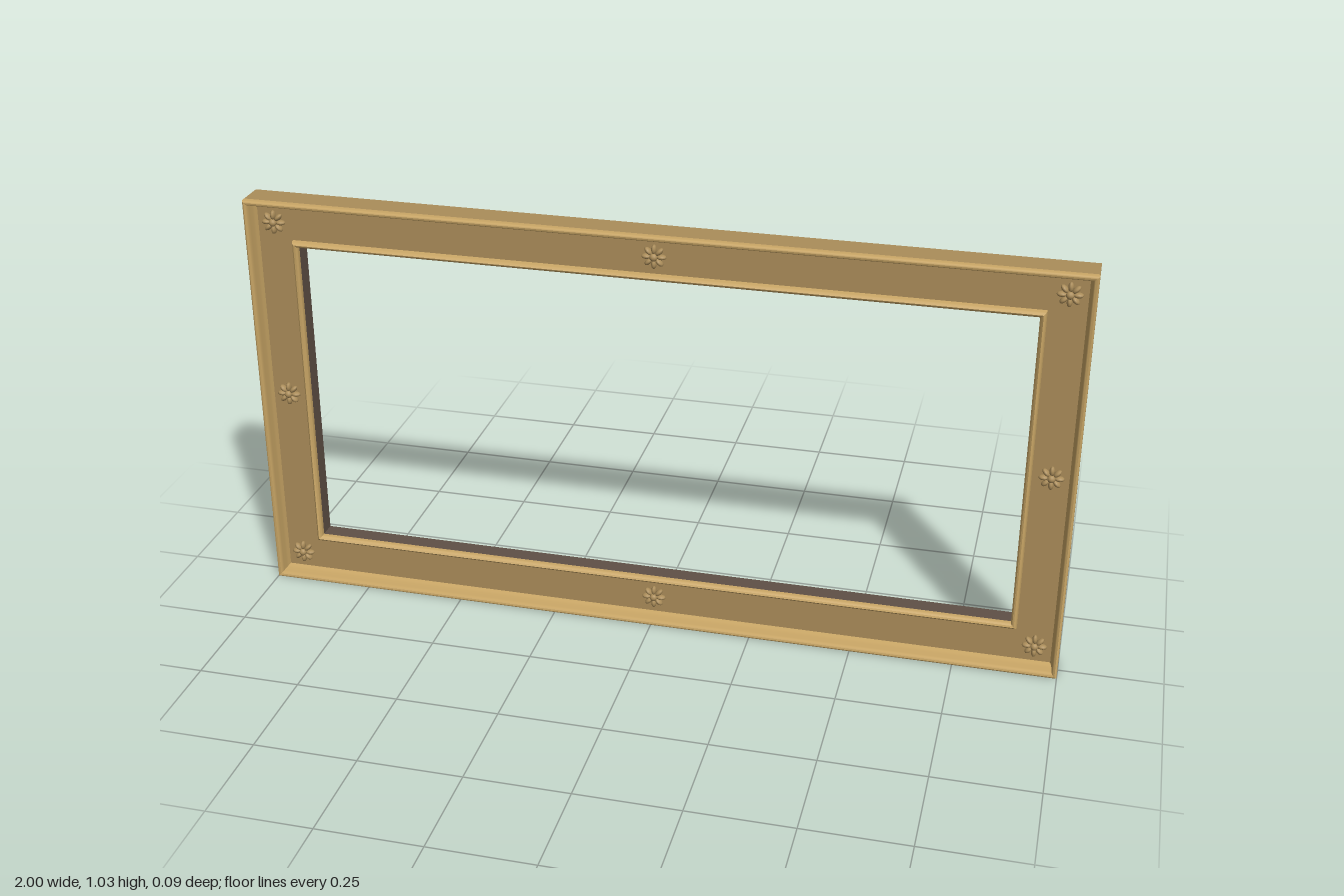
import * as THREE from 'three';
import { toCreasedNormals } from 'three/addons/utils/BufferGeometryUtils.js';

const H = 1.033; // frame height; width is 2
const FACE = 0.0, BACK = -0.042;

// Sweeps a moulding profile of [inset, z] points round the rectangle with mitred corners.
function sweep(profile) {
  const loop = ([d, z]) => [[1 - d, d], [1 - d, H - d], [d - 1, H - d], [d - 1, d]]
    .map(([x, y]) => [x, y, z]);
  const pos = [];
  for (let i = 0; i < profile.length - 1; i++) {
    const a = loop(profile[i]), b = loop(profile[i + 1]);
    for (let k = 0; k < 4; k++) {
      const n = (k + 1) % 4;
      pos.push(...a[k], ...a[n], ...b[n], ...a[k], ...b[n], ...b[k]);
    }
  }
  const g = new THREE.BufferGeometry();
  g.setAttribute('position', new THREE.Float32BufferAttribute(pos, 3));
  return toCreasedNormals(g, 0.7);
}

export function createModel() {
  const mat = (name, color) => {
    const m = new THREE.MeshStandardMaterial({ color });
    m.name = name;
    return m;
  };
  const gold = mat('antique gold', 0xab8d5a);
  const bright = mat('bright gold', 0xc8a565);
  const brown = mat('dark wood', 0x5f5046);

  const model = new THREE.Group();
  model.name = 'pictureFrame';
  const add = (name, geometry, material, parent = model) => {
    const mesh = new THREE.Mesh(geometry, material);
    mesh.name = name;
    parent.add(mesh);
    return mesh;
  };

  // Frame body: outer sides, recessed face, wooden back and opening walls
  add('outerSides', sweep([[0, BACK], [0, 0.025]]), gold);
  add('frontFace', sweep([[0.019, FACE], [0.105, FACE]]), gold);
  add('woodenBack', sweep([[0.12, FACE], [0.12, BACK], [0, BACK]]), brown);

  // Raised mouldings round the outside and the opening
  add('outerMoulding', sweep([
    [0, 0.025], [0, 0.037], [0.0015, 0.041], [0.005, 0.043], [0.009, 0.042],
    [0.012, 0.038], [0.013, 0.03], [0.0145, 0.016], [0.016, 0.008], [0.019, FACE],
  ]), bright);
  add('innerMoulding', sweep([
    [0.105, FACE], [0.106, 0.009], [0.108, 0.014], [0.112, 0.017],
    [0.116, 0.015], [0.119, 0.011], [0.12, 0.006], [0.12, FACE],
  ]), bright);

  // Flower rosettes at the corners and the middle of each side
  const petal = new THREE.SphereGeometry(1, 10, 8);
  petal.scale(0.012, 0.0062, 0.010);
  petal.translate(0.018, 0, 0.003);
  const button = new THREE.SphereGeometry(0.0095, 12, 8);
  button.translate(0, 0, 0.008);
  for (const x of [-0.94, 0, 0.94]) {
    for (const y of [0.062, H / 2, H - 0.062]) {
      if (x === 0 && y === H / 2) continue;
      const rosette = new THREE.Group();
      rosette.name = 'rosette';
      rosette.position.set(x, y, FACE);
      for (let i = 0; i < 8; i++) {
        add('petal', petal, gold, rosette).rotation.z = i * Math.PI / 4;
      }
      add('rosetteCentre', button, gold, rosette);
      model.add(rosette);
    }
  }
  return model;
}
